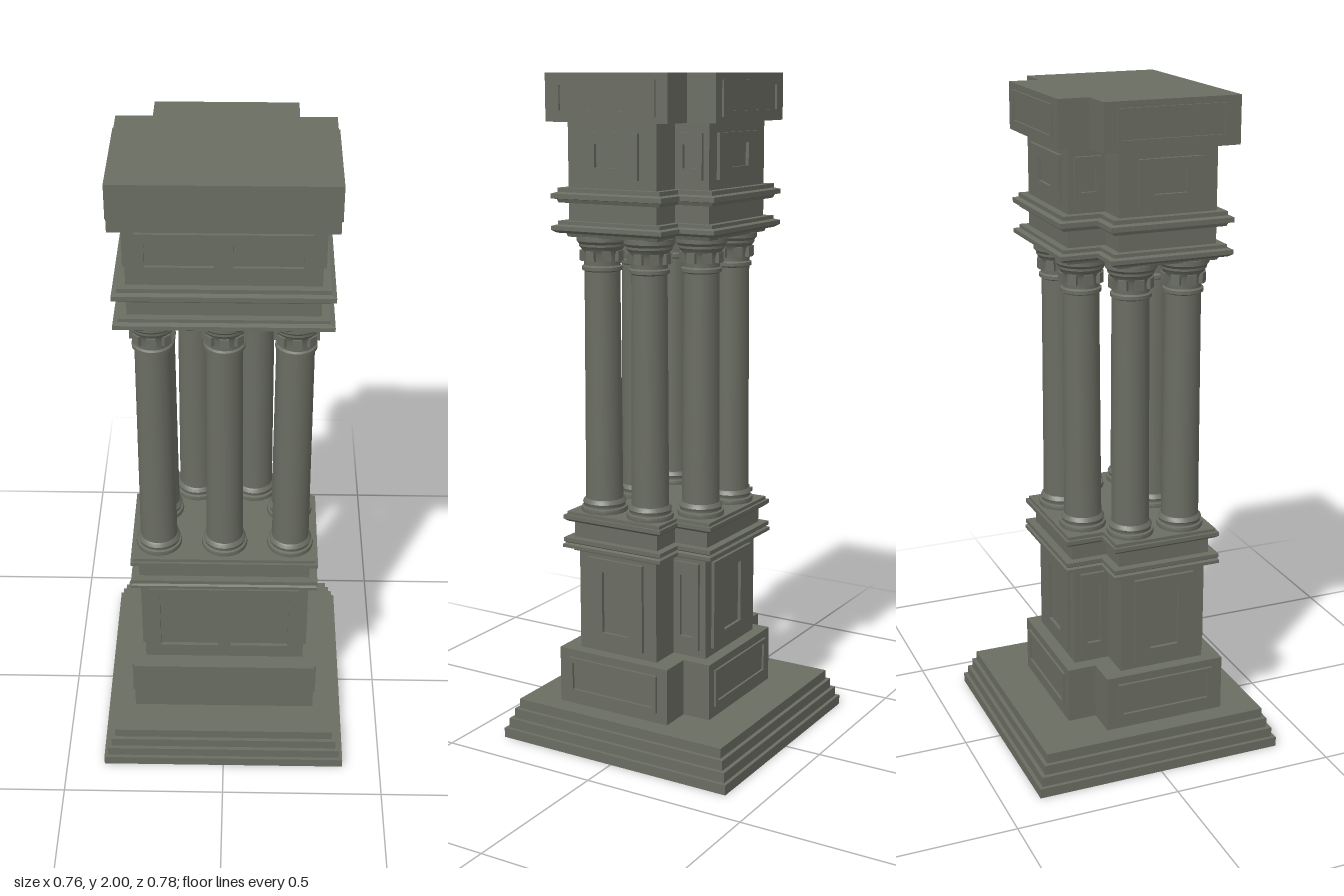
import * as THREE from 'three';
import { toCreasedNormals } from 'three/addons/utils/BufferGeometryUtils.js';

const stone = new THREE.MeshStandardMaterial({ color: 0x6a6d62 });
stone.name = 'grey stone';

// T-shaped plan: wide front block with a narrower wing at the back
const plan = (hx, front, notch, back, wx) => [
  [hx, front], [hx, notch], [wx, notch], [wx, back],
  [-wx, back], [-wx, notch], [-hx, notch], [-hx, front],
];
const grown = (o) => plan(0.25 + o, 0.188 + o, -0.08 - o, -0.19 - o, 0.15 + o);

// Loft through rings of [height, outline], closed at both ends
function loft(rings) {
  const pos = [];
  const put = (y, p) => pos.push(p[0], y, p[1]);
  for (let r = 0; r < rings.length - 1; r++) {
    const [y0, a] = rings[r], [y1, b] = rings[r + 1];
    for (let i = 0; i < a.length; i++) {
      const j = (i + 1) % a.length;
      put(y0, a[i]); put(y0, a[j]); put(y1, b[j]);
      put(y0, a[i]); put(y1, b[j]); put(y1, b[i]);
    }
  }
  const cap = ([y, o], up) => {
    const pts = o.map(([x, z]) => new THREE.Vector2(x, -z));
    for (const [i, j, k] of THREE.ShapeUtils.triangulateShape(pts, [])) {
      for (const n of up ? [i, j, k] : [k, j, i]) put(y, o[n]);
    }
  };
  cap(rings[0], false);
  cap(rings[rings.length - 1], true);
  const g = new THREE.BufferGeometry();
  g.setAttribute('position', new THREE.Float32BufferAttribute(pos, 3));
  g.computeVertexNormals();
  return g;
}

// Raised plate with rectangular openings; holes are [x, y, w, h] about its centre
function plateGeometry(w, h, holes, depth) {
  const rect = (P, x, y, rw, rh) => new P([[-1, -1], [1, -1], [1, 1], [-1, 1]]
    .map(([u, v]) => new THREE.Vector2(x + u * rw / 2, y + v * rh / 2)));
  const s = rect(THREE.Shape, 0, 0, w, h);
  s.holes = holes.map((q) => rect(THREE.Path, ...q));
  return new THREE.ExtrudeGeometry(s, { depth, bevelEnabled: false });
}

export function createModel() {
  const model = new THREE.Group();
  model.name = 'pier with columns';
  const add = (name, geometry, parent = model) => {
    const m = new THREE.Mesh(geometry, stone);
    m.name = name;
    parent.add(m);
    return m;
  };
  const panel = (name, w, h, holes, depth, x, y, z, turn) => {
    const m = add(name, plateGeometry(w, h, holes, depth));
    m.position.set(x, y, z);
    m.rotation.y = turn;
  };
  const body = (name, y0, y1, outline) => add(name, loft([[y0, outline], [y1, outline]]));

  // Stepped foot
  [[0.381, 0, 0.03], [0.37, 0.03, 0.06], [0.358, 0.06, 0.09], [0.346, 0.09, 0.12]].forEach(([r, y0, y1]) => {
    add('footStep', new THREE.BoxGeometry(r * 2, y1 - y0, r * 2 + 0.014)).position.y = (y0 + y1) / 2;
  });

  // Plinth, pedestal, attic and top block
  body('plinth', 0.12, 0.292, plan(0.286, 0.24, -0.138, -0.226, 0.19));
  body('pedestal', 0.292, 0.61, grown(0));
  body('attic', 1.675, 1.865, grown(0.013));
  body('topBlock', 1.865, 2, plan(0.302, 0.25, -0.153, -0.244, 0.2));

  // Moulded bands below and above the columns
  const band = (name, rows) => add(name, loft(rows.map(([y, o]) => [y, grown(o)])));
  band('lowerCornice', [
    [0.6, 0.012], [0.612, 0.016], [0.612, 0.036], [0.622, 0.036], [0.626, 0.028], [0.63, 0.034],
    [0.642, 0.034], [0.642, 0.01], [0.69, 0.01], [0.692, 0.024], [0.7, 0.034], [0.712, 0.034],
    [0.712, 0.026], [0.722, 0.026],
  ]);
  band('entablature', [
    [1.54, 0.016], [1.552, 0.02], [1.552, 0.038], [1.56, 0.05], [1.572, 0.05], [1.576, 0.036],
    [1.586, 0.036], [1.586, 0.013], [1.638, 0.013], [1.638, 0.034], [1.648, 0.038], [1.65, 0.05],
    [1.664, 0.05], [1.668, 0.036], [1.68, 0.036],
  ]);

  // Front panels with two openings each
  panel('pedestalFrontPanel', 0.46, 0.27, [[-0.11, 0, 0.18, 0.2], [0.11, 0, 0.18, 0.2]], 0.012, 0, 0.45, 0.188, 0);
  panel('atticFrontPanel', 0.47, 0.13, [[-0.118, 0, 0.185, 0.066], [0.118, 0, 0.185, 0.066]], 0.01, 0, 1.772, 0.201, 0);

  // Back panels
  const B = Math.PI;
  panel('pedestalBackPanel', 0.23, 0.27, [[0, 0, 0.1, 0.19]], 0.01, 0, 0.45, -0.19, B);
  panel('atticBackPanel', 0.24, 0.13, [[0, 0, 0.1, 0.066]], 0.01, 0, 1.772, -0.203, B);
  panel('plinthBackPanel', 0.32, 0.115, [[0, 0, 0.29, 0.085]], 0.007, 0, 0.21, -0.226, B);
  panel('topBackPanel', 0.33, 0.1, [[0, 0, 0.3, 0.07]], 0.006, 0, 1.932, -0.244, B);

  // Side panels, mirrored on the main block and on the wing
  for (const s of [1, -1]) {
    const t = s * Math.PI / 2;
    panel('pedestalSidePanel', 0.19, 0.27, [[0, 0, 0.09, 0.19]], 0.011, s * 0.25, 0.45, 0.058, t);
    panel('atticSidePanel', 0.19, 0.13, [[0, 0, 0.095, 0.066]], 0.011, s * 0.263, 1.772, 0.058, t);
    panel('plinthSidePanel', 0.31, 0.115, [[0, 0, 0.28, 0.085]], 0.008, s * 0.286, 0.21, 0.051, t);
    panel('topSidePanel', 0.33, 0.1, [[0, 0, 0.3, 0.07]], 0.006, s * 0.302, 1.932, 0.05, t);
    panel('pedestalWingPanel', 0.08, 0.27, [[0, 0, 0.044, 0.19]], 0.01, s * 0.15, 0.45, -0.13, t);
    panel('atticWingPanel', 0.08, 0.13, [[0, 0, 0.044, 0.066]], 0.01, s * 0.163, 1.772, -0.145, t);
  }

  // Columns: turned shaft with base, neck ring and flared capital
  const profile = [
    [0, 0.72], [0.068, 0.72], [0.07, 0.728], [0.068, 0.736], [0.062, 0.738], [0.062, 0.744], [0.065, 0.75],
    [0.062, 0.756], [0.056, 0.762], [0.055, 0.9], [0.052, 1.44], [0.059, 1.444], [0.059, 1.454],
    [0.053, 1.458], [0.054, 1.49], [0.06, 1.505], [0.067, 1.513], [0.067, 1.52], [0.074, 1.528],
    [0.074, 1.542], [0, 1.542],
  ].map(([x, y]) => new THREE.Vector2(x, y));
  const shaft = toCreasedNormals(new THREE.LatheGeometry(profile, 28), 0.6);
  const tab = new THREE.BoxGeometry(0.026, 0.03, 0.014);
  const spots = [[-0.2, 0.13], [0, 0.13], [0.2, 0.13], [-0.2, -0.03], [0.2, -0.03], [-0.09, -0.138], [0.09, -0.138]];
  for (const [x, z] of spots) {
    const column = new THREE.Group();
    column.name = 'column';
    column.position.set(x, 0, z);
    add('shaft', shaft, column);
    // Blocks around the capital
    for (let i = 0; i < 8; i++) {
      const a = i * Math.PI / 4;
      const m = add('capitalBlock', tab, column);
      m.position.set(Math.sin(a) * 0.057, 1.486, Math.cos(a) * 0.057);
      m.rotation.y = a;
    }
    model.add(column);
  }
  return model;
}
